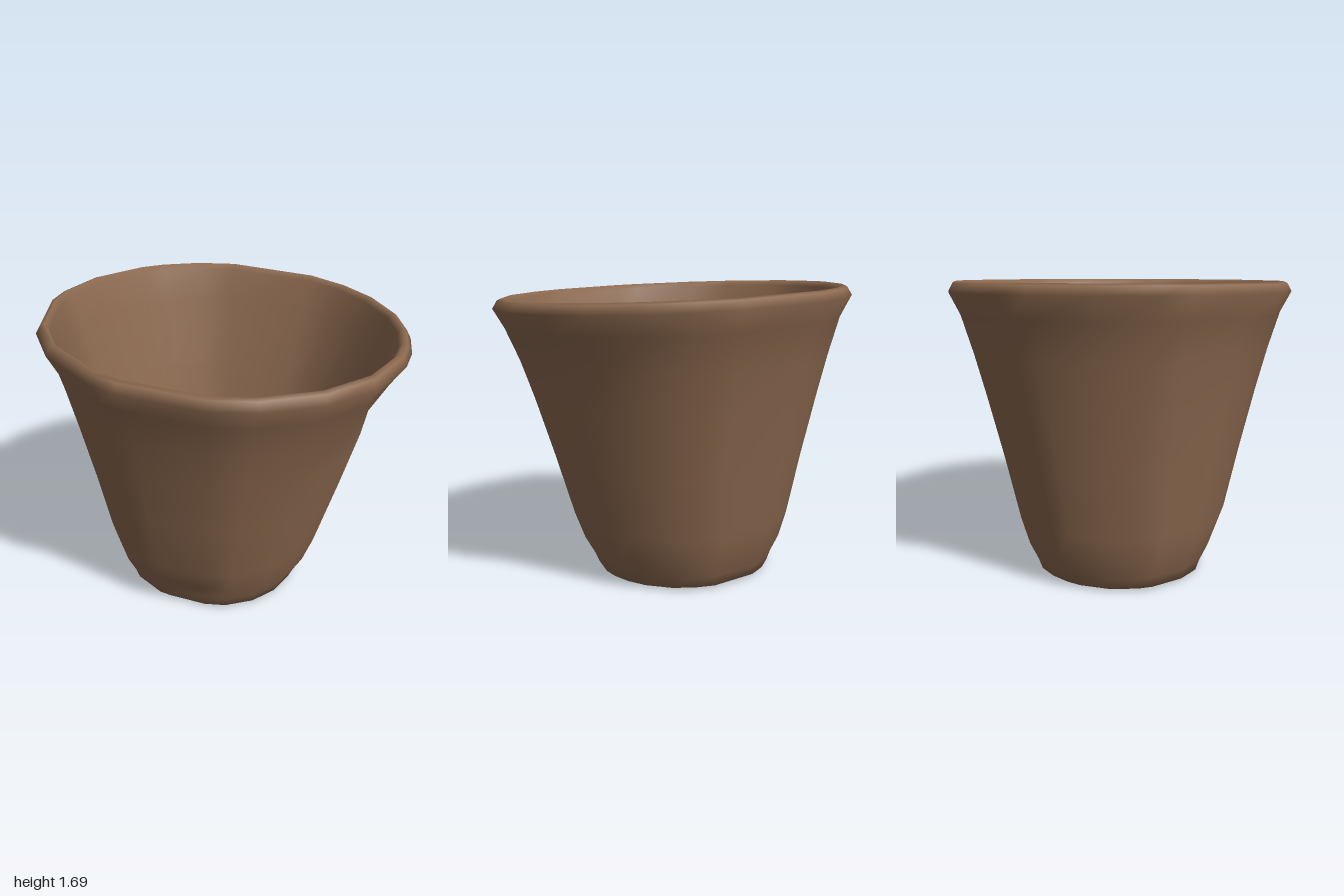
import * as THREE from 'three';

// Uneven directions of the corners around the pot, in degrees from the front (+z) towards +x
const directions = [9, 27, 45, 55, 67, 80, 97, 111, 125, 157, 171, 185, 194, 213, 230, 239, 261, 278, 301, 310, 336, 350];

// Profile as [radius, height]: underside, outer wall, rolled rim, inner wall, floor
const profile = [
  [0.03, 0.05], [0.3, 0.03], [0.45, 0], [0.515, 0.015],
  [0.54, 0.08], [0.59, 0.18], [0.64, 0.34], [0.725, 0.7], [0.815, 1.05], [0.88, 1.28], [0.945, 1.48],
  [1.005, 1.595], [0.98, 1.64], [0.955, 1.65], [0.93, 1.62],
  [0.885, 1.45], [0.765, 1.05], [0.645, 0.6], [0.55, 0.25],
  [0.45, 0.13], [0.25, 0.11], [0.03, 0.08],
];

// Bump of strength 1 at a value, fading over a width
const bump = (value, centre, width) => Math.exp(-(((value - centre) / width) ** 2));

// One corner of the hand-formed wall
function wallPoint(radius, height, degrees) {
  const angle = THREE.MathUtils.degToRad(degrees);
  const dentLow = 0.06 * bump(degrees, 320, 22) * bump(height, 0.12, 0.12);
  const dentHigh = 0.05 * bump(degrees, 52, 16) * bump(height, 1.28, 0.2);
  const isWall = radius > 0.5 ? 1 : 0;
  const r = radius * (1 + 0.02 * Math.sin(2 * angle)) - isWall * (dentLow + dentHigh);
  const x = r * Math.sin(angle), z = r * Math.cos(angle);

  // The base leans off centre, the rim slopes, the drain hole sits to one side
  const lean = Math.max(0, 1 - height / 1.45);
  const toHole = 1 - THREE.MathUtils.smoothstep(radius, 0.03, 0.45);
  const slope = THREE.MathUtils.smoothstep(height, 1.05, 1.6);
  return [
    x - 0.06 * lean - 0.12 * toHole,
    height - slope * (0.025 * x + 0.032 * z),
    z - 0.05 * lean + 0.09 * toHole,
  ];
}

// Closed shell whose inside and underside meet at the drain hole
function potGeometry() {
  const n = directions.length, m = profile.length;
  const positions = [], indices = [];
  for (const [radius, height] of profile) {
    for (const degrees of directions) positions.push(...wallPoint(radius, height, degrees));
  }
  for (let i = 0; i < m; i++) {
    const lo = i * n, hi = ((i + 1) % m) * n;
    for (let j = 0; j < n; j++) {
      const k = (j + 1) % n;
      indices.push(lo + j, lo + k, hi + k, lo + j, hi + k, hi + j);
    }
  }
  const geometry = new THREE.BufferGeometry();
  geometry.setAttribute('position', new THREE.Float32BufferAttribute(positions, 3));
  geometry.setIndex(indices);
  geometry.computeVertexNormals();
  return geometry;
}

export function createModel() {
  const model = new THREE.Group();
  model.name = 'flowerPot';
  const clay = new THREE.MeshStandardMaterial({ color: 0x8d6a50 });
  clay.name = 'brown clay';

  const pot = new THREE.Mesh(potGeometry(), clay);
  pot.name = 'potShell';
  model.add(pot);
  return model;
}
